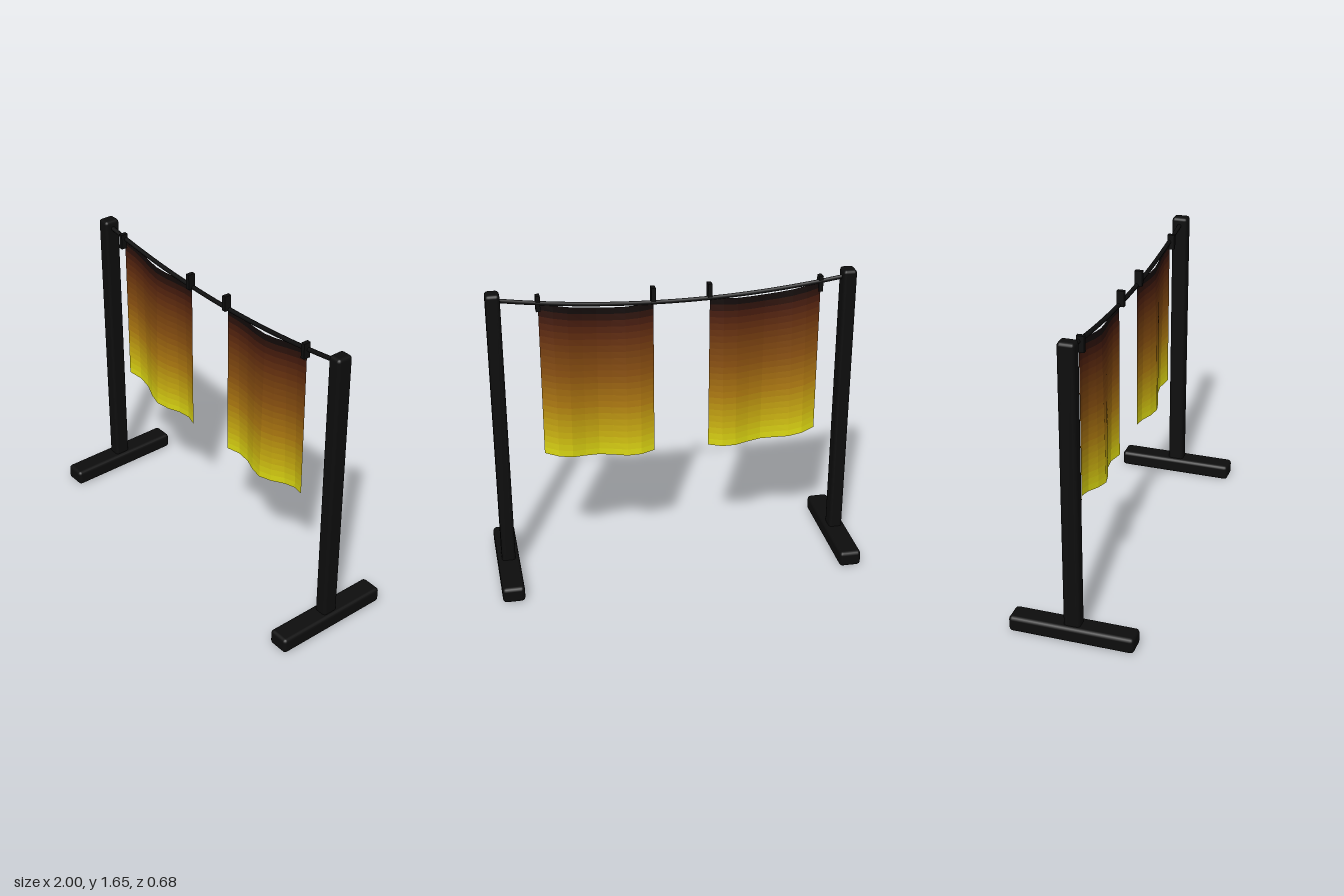
import * as THREE from 'three';
import { RoundedBoxGeometry } from 'three/addons/geometries/RoundedBoxGeometry.js';

const black = new THREE.MeshStandardMaterial({ color: 0x0d0d0d });
const ropeY = (x) => 1.535 + 0.07 * (x / 0.91) ** 2;

function add(parent, name, geometry, material, x = 0, y = 0, z = 0) {
  const mesh = new THREE.Mesh(geometry, material);
  mesh.name = name;
  mesh.position.set(x, y, z);
  parent.add(mesh);
  return mesh;
}

// Cloth dye, from the dark top edge (0) to the yellow hem (1)
const dye = [
  [0, 0x080808], [0.04, 0x180c0a], [0.12, 0x4c1e0e], [0.22, 0x66300f],
  [0.45, 0x8c5210], [0.65, 0xae7a10], [0.85, 0xcab010], [1, 0xdcdc12],
];
function dyeAt(v) {
  const i = Math.max(1, dye.findIndex(([stop]) => stop >= v));
  const [v0, c0] = dye[i - 1], [v1, c1] = dye[i];
  return new THREE.Color(c0).lerp(new THREE.Color(c1), (v - v0) / (v1 - v0));
}

// Hanging cloth: horizontal strips of one sagging, rippled sheet
function createCloth(name, x0, x1) {
  const cloth = new THREE.Group();
  cloth.name = name;
  const strips = 24, columns = 8, drop = 0.865;
  for (let s = 0; s < strips; s++) {
    const strip = new THREE.PlaneGeometry(1, 1, columns, 1);
    const p = strip.attributes.position;
    for (let i = 0; i < p.count; i++) {
      const u = p.getX(i) + 0.5;
      const v = (s + 0.5 - p.getY(i)) / strips;
      const top = THREE.MathUtils.lerp(ropeY(x0), ropeY(x1), u) - 0.03 * Math.sin(Math.PI * u);
      const ripple = -0.026 * (0.3 + 0.7 * v) * Math.sin(3 * Math.PI * u);
      p.setXYZ(i, THREE.MathUtils.lerp(x0, x1, u), top - drop * v, ripple);
    }
    strip.computeVertexNormals();
    add(cloth, 'clothStrip', strip, new THREE.MeshStandardMaterial({
      color: dyeAt((s + 0.5) / strips), flatShading: true, side: THREE.DoubleSide,
    }));
  }
  return cloth;
}

export function createModel() {
  const model = new THREE.Group();
  model.name = 'clothesLine';

  // Posts on long feet
  for (const [side, x] of [['left', 0.94], ['right', -0.94]]) {
    add(model, side + 'Post', new RoundedBoxGeometry(0.075, 1.61, 0.09, 2, 0.018), black, x, 0.845);
    add(model, side + 'Foot', new RoundedBoxGeometry(0.12, 0.088, 0.675, 2, 0.02), black, x, 0.044);
  }

  // Slack rope between the posts
  const points = [];
  for (let i = 0; i <= 12; i++) {
    const x = -0.94 + (1.88 * i) / 12;
    points.push(new THREE.Vector3(x, ropeY(x), 0));
  }
  add(model, 'rope', new THREE.TubeGeometry(new THREE.CatmullRomCurve3(points), 32, 0.012, 8), black);

  // Cloths, each pegged at both upper corners
  for (const [name, x0, x1] of [['rightCloth', -0.79, -0.19], ['leftCloth', 0.11, 0.71]]) {
    model.add(createCloth(name, x0, x1));
    for (const x of [x0, x1]) {
      add(model, 'peg', new THREE.BoxGeometry(0.023, 0.085, 0.04), black, x, 1.575, 0.01);
    }
  }
  return model;
}
